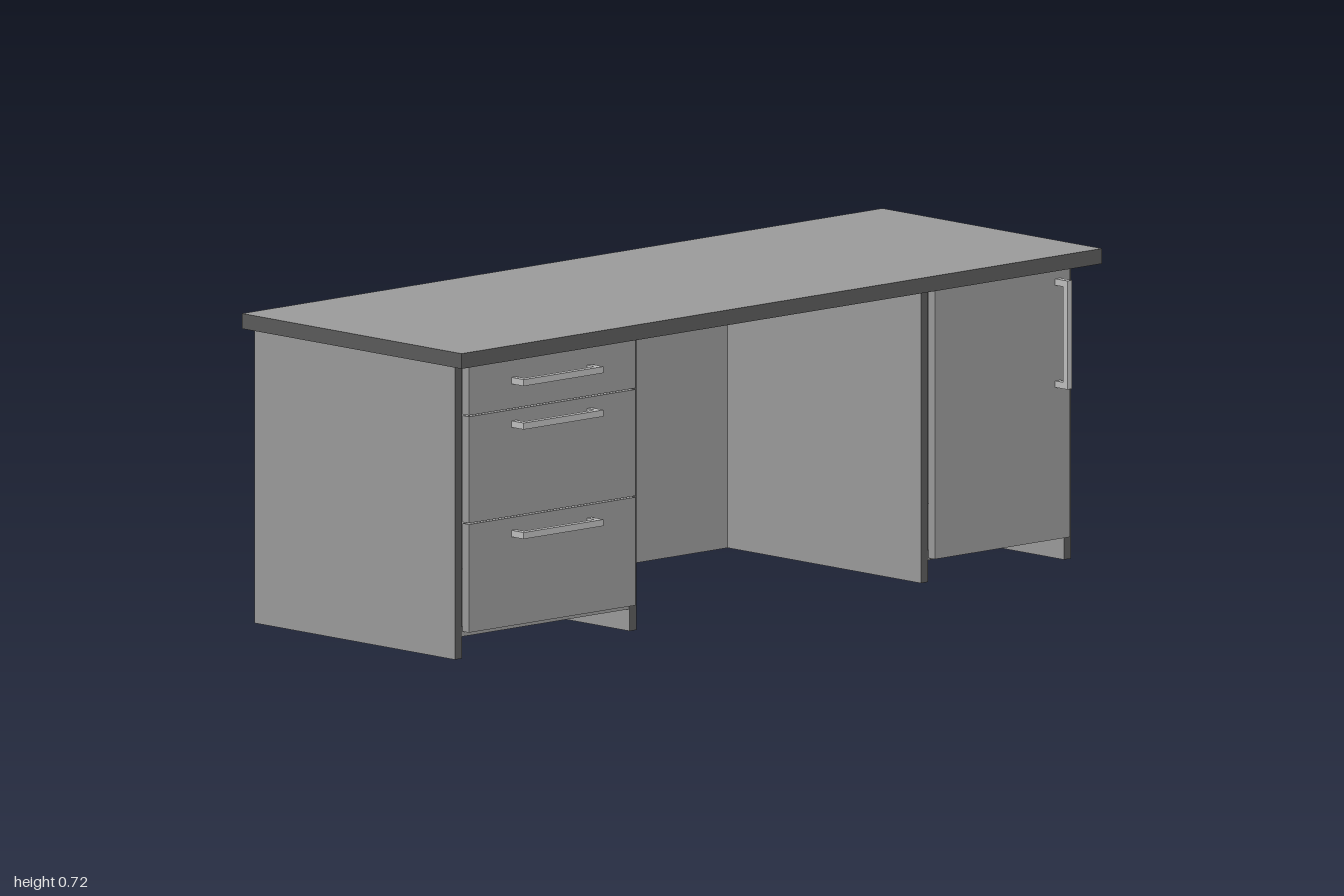
import * as THREE from 'three';

const mat = (name, color) => {
  const m = new THREE.MeshStandardMaterial({ color });
  m.name = name;
  return m;
};

export function createModel() {
  const desk = new THREE.Group();
  desk.name = 'desk';
  const board = mat('grey board', 0x999999);
  const edge = mat('dark edge band', 0x5a5a5a);
  const metal = mat('handle metal', 0xbcbcbc);

  // Box given by its lower and upper corners; material may be an array per face (+x -x +y -y +z -z)
  const box = (name, [x0, x1], [y0, y1], [z0, z1], material, parent = desk) => {
    const mesh = new THREE.Mesh(new THREE.BoxGeometry(x1 - x0, y1 - y0, z1 - z0), material);
    mesh.position.set((x0 + x1) / 2, (y0 + y1) / 2, (z0 + z1) / 2);
    mesh.name = name;
    parent.add(mesh);
    return mesh;
  };

  // Worktop, edge banded on the front and both ends
  box('worktop', [-1, 1], [0.682, 0.717], [-0.362, 0.362], [edge, edge, board, board, edge, board]);

  // Upright panels with banded front edges
  const banded = [board, board, board, board, edge, board];
  const uprights = [
    ['rightSidePanel', -0.962, -0.94, -0.36],
    ['rightDivider', -0.417, -0.395, -0.337],
    ['leftDivider', 0.493, 0.515, -0.337],
    ['leftSidePanel', 0.94, 0.962, -0.36],
  ];
  for (const [name, x0, x1, back] of uprights) box(name, [x0, x1], [0, 0.682], [back, 0.3], banded);

  // Full width back panel set between the sides
  box('backPanel', [-0.94, 0.94], [0, 0.682], [-0.358, -0.337], board);

  // Cabinet floors, raised above the ground
  box('drawerCabinetFloor', [-0.94, -0.417], [0.05, 0.072], [-0.337, 0.298], board);
  box('doorCabinetFloor', [0.515, 0.94], [0.05, 0.072], [-0.337, 0.298], board);

  // Bar handle with two end posts, laid out along x and turned if upright
  const handle = (name, x, y, upright) => {
    const g = new THREE.Group();
    g.name = name;
    box('bar', [-0.125, 0.125], [-0.0075, 0.0075], [0.025, 0.04], metal, g);
    for (const s of [-1, 1]) {
      const c = s * 0.1175;
      box('post', [c - 0.0075, c + 0.0075], [-0.0075, 0.0075], [0, 0.025], metal, g);
    }
    if (upright) g.rotation.z = Math.PI / 2;
    g.position.set(x, y, 0.321);
    desk.add(g);
  };

  // Three drawer fronts: bottom, top, handle height
  const drawers = [
    ['top', 0.562, 0.68, 0.626],
    ['middle', 0.314, 0.559, 0.526],
    ['bottom', 0.062, 0.311, 0.274],
  ];
  for (const [name, y0, y1, hy] of drawers) {
    box(name + 'DrawerFront', [-0.938, -0.418], [y0, y1], [0.3, 0.321], board);
    handle(name + 'DrawerHandle', -0.68, hy, false);
  }

  // Cabinet door with an upright handle
  box('door', [0.517, 0.938], [0.055, 0.68], [0.3, 0.321], board);
  handle('doorHandle', 0.9, 0.53, true);

  return desk;
}
